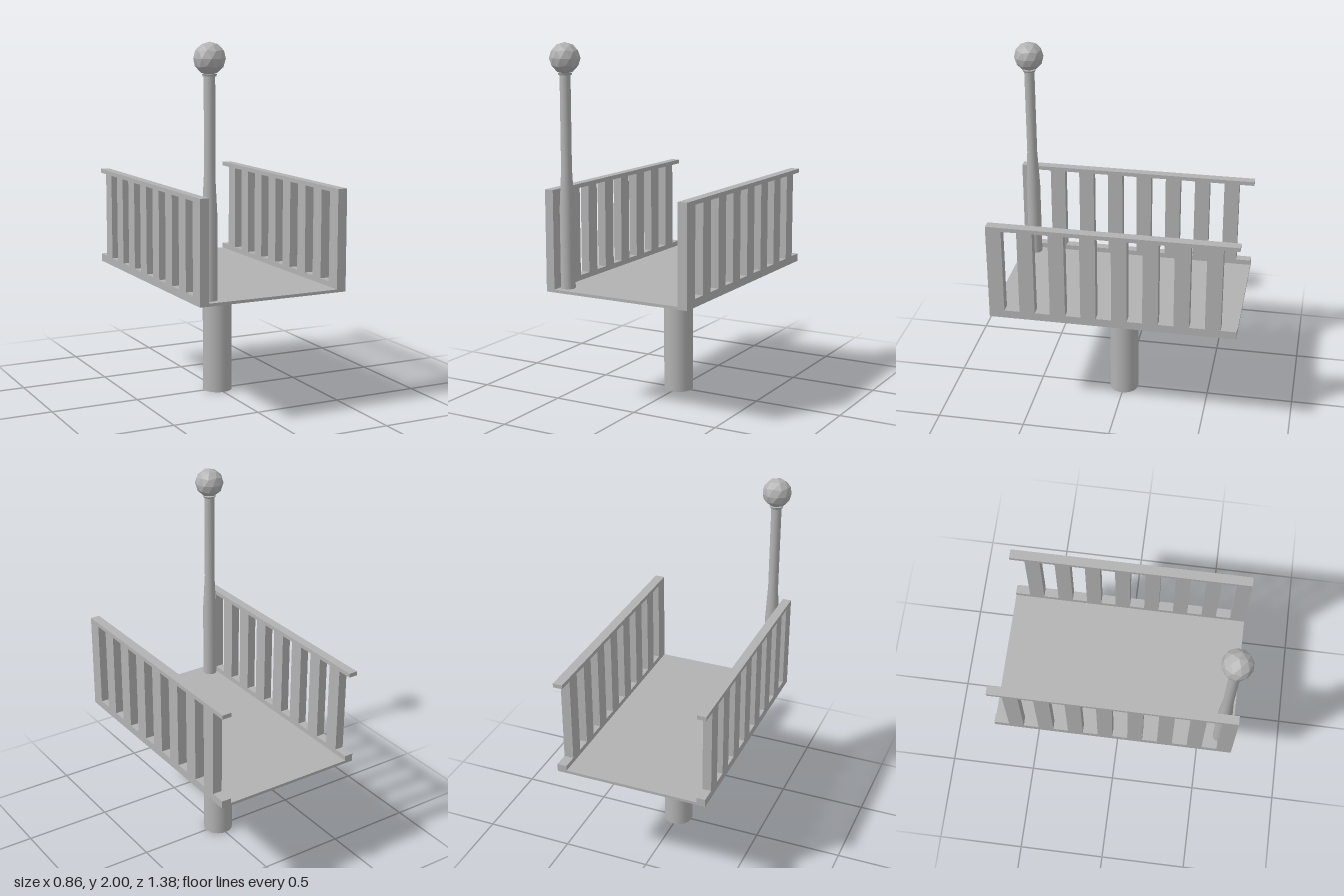
import * as THREE from 'three';

export function createModel() {
  const model = new THREE.Group();
  const grey = new THREE.MeshStandardMaterial({ color: 0xb2b2b2 });
  grey.name = 'plain grey';
  const ballGrey = grey.clone();
  ballGrey.name = 'plain grey faceted';
  ballGrey.flatShading = true;

  const add = (name, geometry, x, y, z, material = grey) => {
    const mesh = new THREE.Mesh(geometry, material);
    mesh.name = name;
    mesh.position.set(x, y, z);
    model.add(mesh);
  };

  // Deck and its central column
  const front = 0.683, back = -0.69, base = 0.665;
  add('deck', new THREE.BoxGeometry(0.76, 0.016, front - back), -0.003, base + 0.008, (front + back) / 2);
  add('column', new THREE.CylinderGeometry(0.083, 0.083, base, 32), 0, base / 2, 0);

  // Slatted side panel, drawn in z and y; the slot at the back end is open
  const pitch = (front - back) / 8, slat = pitch / 2;
  const slotBottom = 0.71, slotTop = 1.2, railTop = 1.223;
  const lastEdge = front - 7 * pitch - slat;
  const panel = new THREE.Shape([
    [front, base], [front, railTop], [back, railTop], [back, slotTop],
    [lastEdge, slotTop], [lastEdge, slotBottom], [back, slotBottom], [back, base],
  ].map(([z, y]) => new THREE.Vector2(z, y)));
  for (let i = 0; i < 7; i++) {
    const z1 = front - i * pitch - slat, z0 = z1 - slat;
    panel.holes.push(new THREE.Path([
      new THREE.Vector2(z0, slotBottom), new THREE.Vector2(z1, slotBottom),
      new THREE.Vector2(z1, slotTop), new THREE.Vector2(z0, slotTop),
    ]));
  }
  for (const [name, inner, outer] of [['leftRailing', 0.377, 0.431], ['rightRailing', -0.433, -0.383]]) {
    const geometry = new THREE.ExtrudeGeometry(panel, { depth: outer - inner, bevelEnabled: false });
    geometry.rotateY(-Math.PI / 2);
    add(name, geometry, outer, 0, 0);
  }

  // Tapered pole with a collar at the top
  const px = -0.343, pz = 0.609;
  const profile = [[0.04, 0.68], [0.04, 1.12], [0.029, 1.33], [0.029, 1.83]]
    .map(([r, y]) => new THREE.Vector2(r, y));
  add('pole', new THREE.LatheGeometry(profile, 24), px, 0, pz);
  add('collar', new THREE.CylinderGeometry(0.039, 0.034, 0.012, 24), px, 1.834, pz);

  // Faceted ball, turned so that one corner points straight up
  const ball = new THREE.IcosahedronGeometry(0.083, 1);
  ball.rotateX(-Math.atan((1 + Math.sqrt(5)) / 2));
  add('ball', ball, px, 1.917, pz, ballGrey);

  return model;
}
